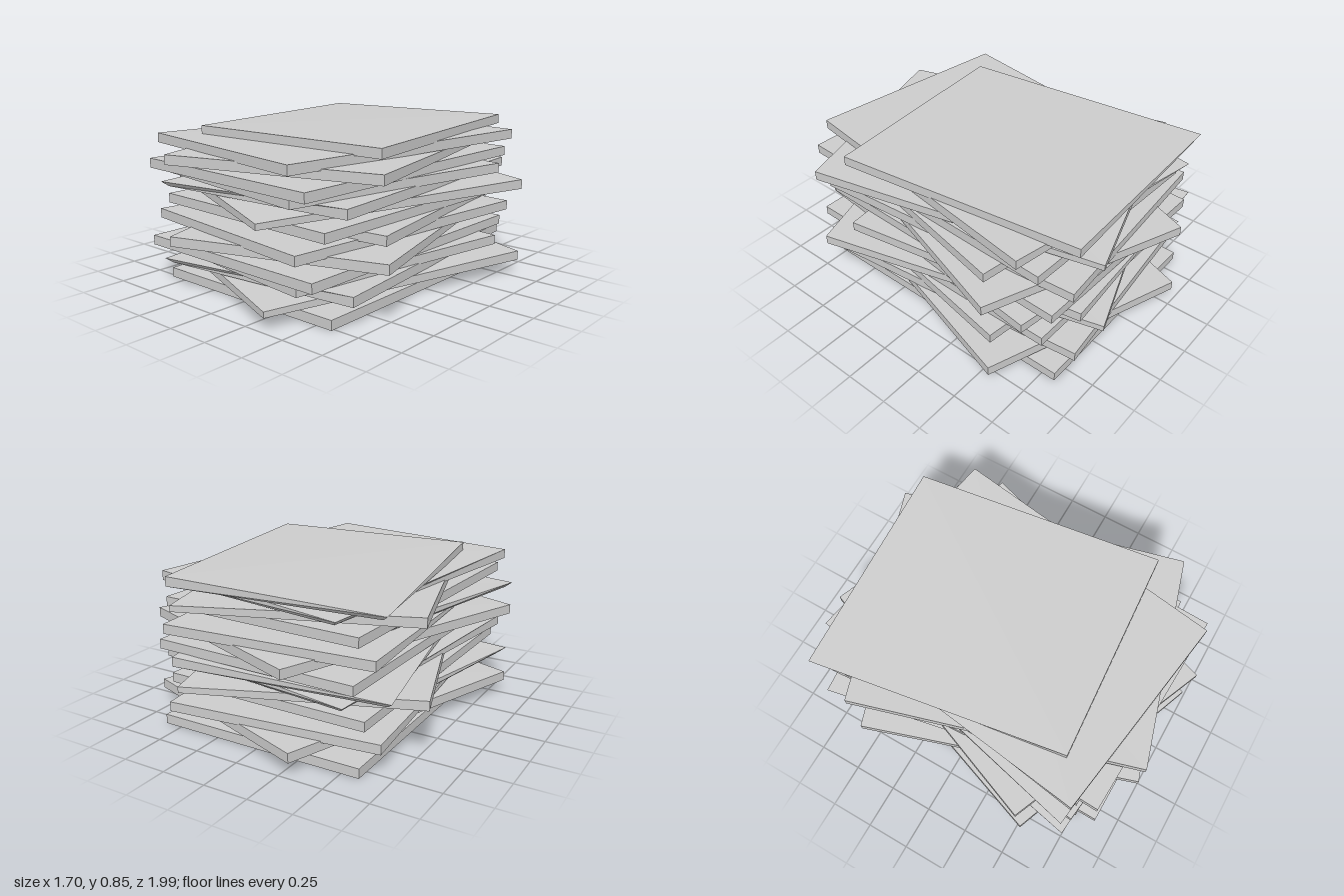
import * as THREE from 'three';

const PERIOD = 0.213;                   // rise of each set of four sheets
const LEVELS = [0, 0.071, 0.116, 0.162]; // heights inside one set

// One repeat of eight sheets. turn / skew: angles of the front and side edges in degrees,
// z: centre, depth: length, corner: bent corner [x sign, z sign], push: its outward shift
const SHEETS = [
  { turn: 0, z: -0.03, depth: 1.6 },
  { turn: 19.5, z: -0.03, depth: 1.6, corner: [1, 1], push: [0.08, 0.035], whole: true },
  { turn: -6, z: -0.03, depth: 1.6, corner: [-1, 1], push: [0.03, 0.03] },
  { turn: 7, skew: 10.5, z: 0.11, depth: 1.4, corner: [-1, 1], push: [0.03, 0.03] },
  { turn: 0.7, z: 0.065, depth: 1.64 },
  { turn: -18.3, z: 0.042, depth: 1.6, corner: [1, -1], push: [0.08, 0.035], whole: true },
  { turn: 7, z: 0.04, depth: 1.6, corner: [-1, -1], push: [0.03, 0.03] },
  { turn: -5.7, skew: -9.5, z: -0.135, depth: 1.4, corner: [-1, -1], push: [0.03, 0.03] },
];

// Thin sheet: a box whose corners are placed along a turned, slightly skewed frame
function sheetGeometry(s, extraTurn) {
  const width = 1.2, thick = 0.053;
  const a = THREE.MathUtils.degToRad(s.turn + extraTurn);
  const b = THREE.MathUtils.degToRad((s.skew ?? s.turn) + extraTurn);
  const geo = new THREE.BoxGeometry(1, 1, 1).toNonIndexed();
  const p = geo.attributes.position;
  for (let i = 0; i < p.count; i++) {
    const sx = Math.sign(p.getX(i)), sz = Math.sign(p.getZ(i)), top = p.getY(i) > 0;
    let u = sx * width / 2, v = sz * s.depth / 2, y = top ? thick : 0;
    if (s.corner && sx === s.corner[0] && sz === s.corner[1]) {
      // bent corner: lowered and drawn outward
      if (top || s.whole) {
        u += sx * s.push[0];
        v += sz * s.push[1];
      }
      y -= top ? 0.026 : s.whole ? 0.006 : 0;
    }
    p.setXYZ(i, u * Math.cos(a) - v * Math.sin(b), y, u * Math.sin(a) + v * Math.cos(b) + s.z);
  }
  geo.computeVertexNormals();
  return geo;
}

export function createModel() {
  const model = new THREE.Group();
  model.name = 'paperStack';
  const material = new THREE.MeshStandardMaterial({ color: 0xcccccc, flatShading: true });
  for (let i = 0; i < 16; i++) {
    // the upper repeat is turned slightly further
    const sheet = new THREE.Mesh(sheetGeometry(SHEETS[i % 8], i < 8 ? 0 : 1.7), material);
    sheet.name = `sheet${i + 1}`;
    sheet.position.y = Math.floor(i / 4) * PERIOD + LEVELS[i % 4];
    model.add(sheet);
  }
  return model;
}
